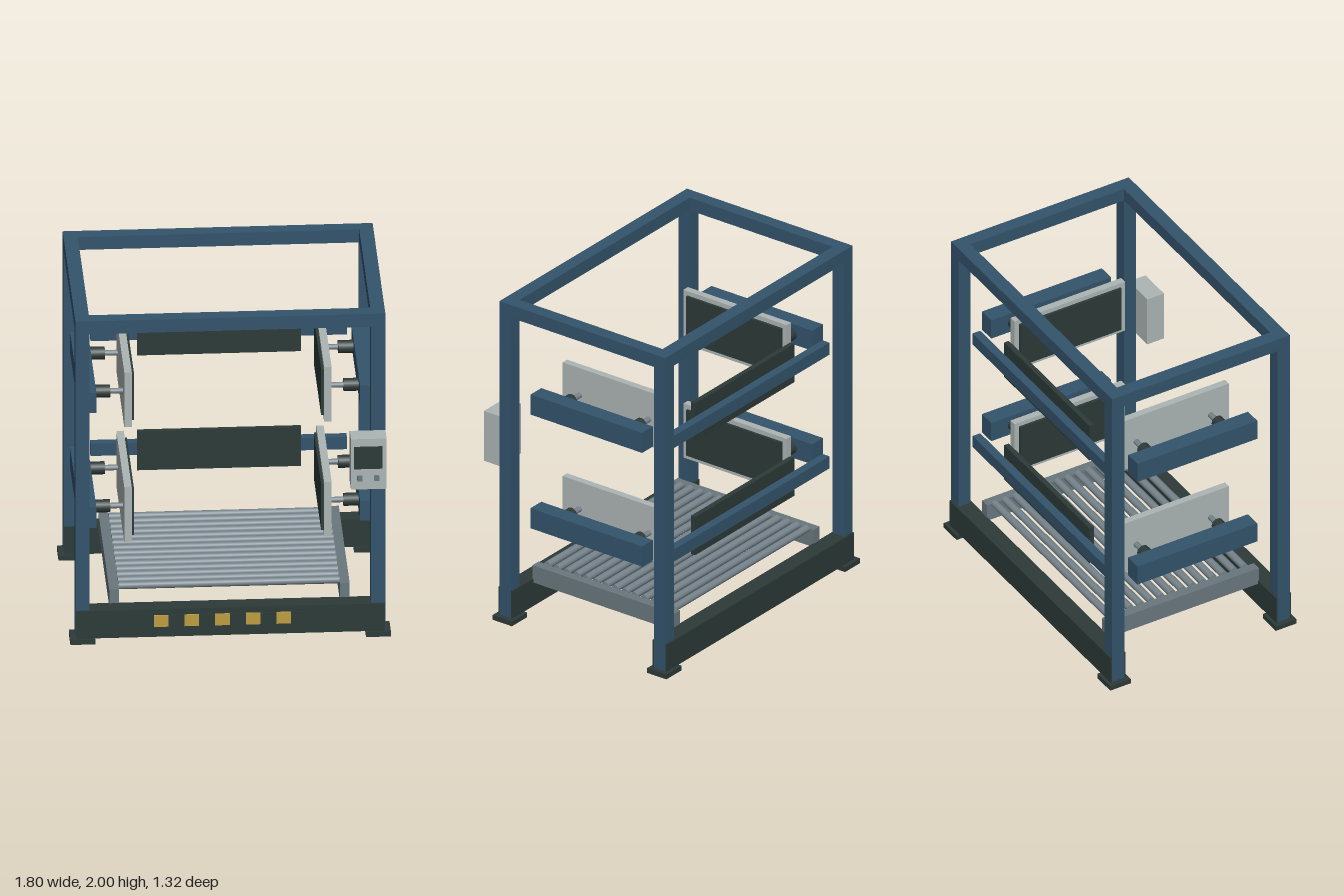
import * as THREE from 'three';

const mat = (name, color) => {
  const m = new THREE.MeshStandardMaterial({ color });
  m.name = name;
  return m;
};

export function createModel() {
  const root = new THREE.Group();
  root.name = 'pressFrame';
  const blue = mat('frameBlue', 0x33536b);
  const dark = mat('darkGreenGrey', 0x2c3a38);
  const light = mat('lightGrey', 0xadb6b5);
  const grey = mat('railGrey', 0x69787e);
  const steel = mat('rollerSteel', 0x76838b);
  const yellow = mat('hazardYellow', 0xbf9d40);

  // Box from its extents on each axis
  const box = (name, m, [x0, x1], [y0, y1], [z0, z1]) => {
    const mesh = new THREE.Mesh(new THREE.BoxGeometry(Math.abs(x1 - x0), y1 - y0, z1 - z0), m);
    mesh.position.set((x0 + x1) / 2, (y0 + y1) / 2, (z0 + z1) / 2);
    mesh.name = name;
    root.add(mesh);
  };
  // Cylinder lying along x
  const rod = (name, m, r, x0, x1, y, z) => {
    const geo = new THREE.CylinderGeometry(r, r, Math.abs(x1 - x0), 20).rotateZ(Math.PI / 2);
    const mesh = new THREE.Mesh(geo, m);
    mesh.position.set((x0 + x1) / 2, y, z);
    mesh.name = name;
    root.add(mesh);
  };

  const front = [0.455, 0.535], back = [-0.63, -0.55];

  // Top cross beams and base beams, front and back
  for (const z of [front, back]) {
    box('topBeam', blue, [-0.79, 0.79], [1.92, 2], z);
    box('baseBeam', dark, [-0.868, 0.868], [0.03, 0.2], [z[0] - 0.01, z[1] + 0.01]);
  }

  for (const s of [-1, 1]) {
    // Posts, feet and top side beams
    for (const z of [front, back]) {
      box('post', blue, [s * 0.79, s * 0.87], [0.03, 2], z);
      box('foot', dark, [s * 0.76, s * 0.9], [0, 0.03], [z[0] - 0.03, z[1] + 0.025]);
    }
    box('topSideBeam', blue, [s * 0.79, s * 0.87], [1.92, 2], [back[1], front[0]]);
    // Conveyor side rail
    box('conveyorRail', grey, [s * 0.62, s * 0.675], [0.178, 0.286], [-0.545, 0.45]);
  }

  // Conveyor rollers
  for (let i = 0; i < 14; i++) rod('roller', steel, 0.022, -0.62, 0.62, 0.281, 0.39 - i * 0.068);

  // Two clamping levels
  for (const y of [0.682, 1.397]) {
    box('backBar', blue, [-0.72, 0.72], [y - 0.038, y + 0.038], [-0.58, -0.53]);
    box('backPad', dark, [-0.46, 0.46], [y - 0.12, y + 0.12], [-0.53, -0.5]);
    for (const s of [-1, 1]) {
      box('sideArm', blue, [s * 0.74, s * 0.84], [y - 0.063, y + 0.063], [-0.445, 0.34]);
      box('clampPlate', light, [s * 0.54, s * 0.582], [y - 0.17, y + 0.17], [-0.415, 0.31]);
      box('clampPad', dark, [s * 0.525, s * 0.54], [y - 0.143, y + 0.143], [-0.385, 0.28]);
      // Rams
      for (const z of [-0.298, 0.19]) {
        rod('ramCylinder', dark, 0.037, s * 0.655, s * 0.745, y, z);
        rod('ramRod', steel, 0.016, s * 0.58, s * 0.657, y, z);
      }
    }
  }

  // Alternating hazard plates on the front base beam
  for (let i = 0; i < 10; i++) {
    const x = -0.39 + i * 0.0861;
    const w = i % 2 ? 0.037 : 0.041;
    box('hazardPlate', i % 2 ? dark : yellow, [x - w, x + w], [0.095, 0.165], [0.545, 0.554]);
  }

  // Control panel with screen and buttons
  box('controlPanel', light, [0.67, 0.87], [0.962, 1.275], [0.535, 0.645]);
  box('panelScreen', dark, [0.687, 0.847], [1.092, 1.228], [0.645, 0.654]);
  for (const x of [0.72, 0.813]) box('panelButton', grey, [x - 0.015, x + 0.015], [1.02, 1.05], [0.645, 0.662]);

  return root;
}
